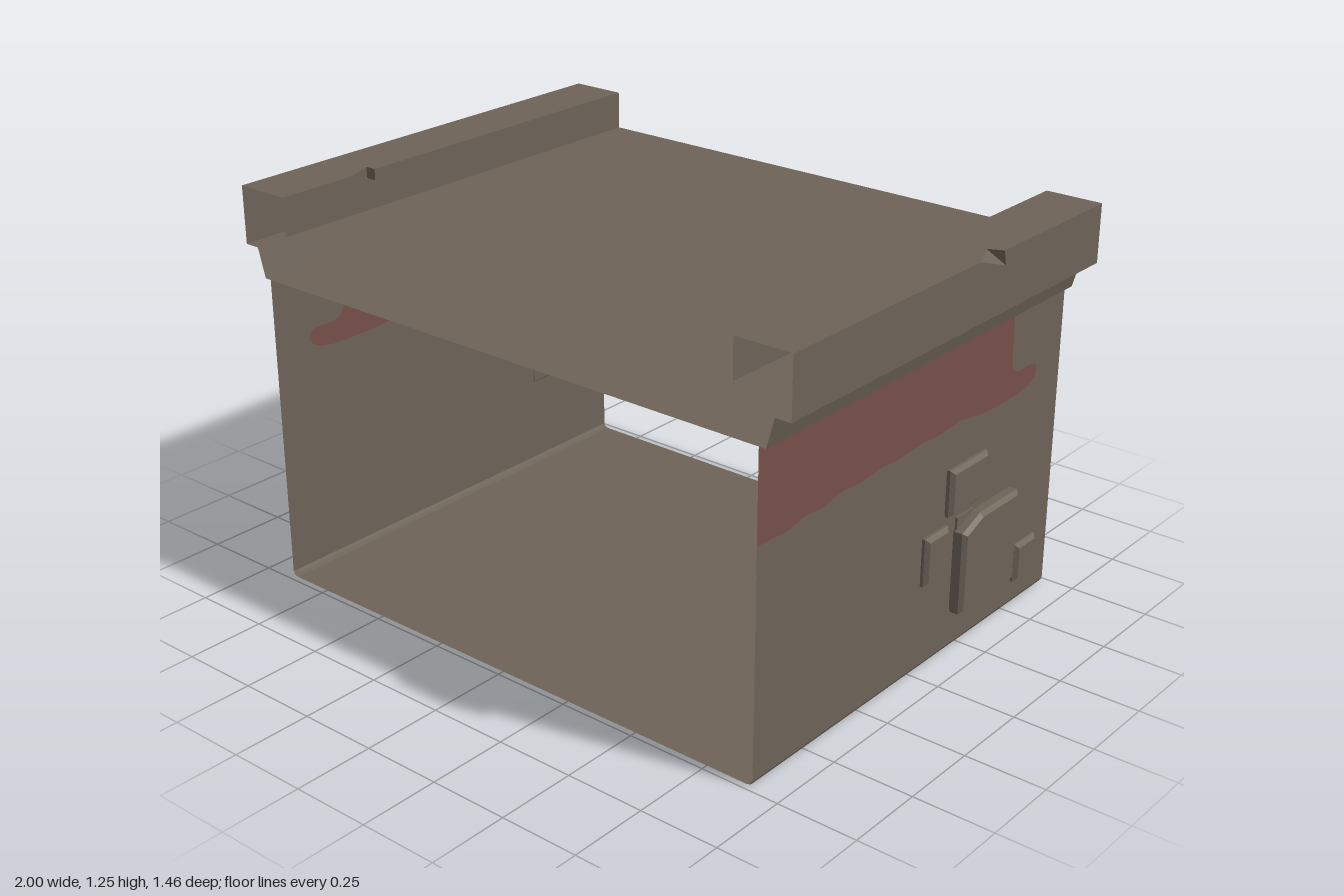
import * as THREE from 'three';

const stone = new THREE.MeshStandardMaterial({ color: 0x6d6358, side: THREE.DoubleSide });
stone.name = 'stone';
const redPaint = new THREE.MeshStandardMaterial({ color: 0x764e48, side: THREE.DoubleSide });
redPaint.name = 'redPaint';

const D = 0.73;      // half depth along z
const W = 0.903;     // wall plane
const TOP = 1.25, LEDGE = 1.07, EAVE = 0.98, ROOF = 1.13;
const IN = 0.82, OUT = 1;

function named(geometry, material, name) {
  const m = new THREE.Mesh(geometry, material);
  m.name = name;
  return m;
}

// Flat polygons, each a list of [x, y, z] corners, joined in one geometry
function panels(name, material, polygons) {
  const pos = [];
  for (const pts of polygons) {
    const v = pts.map(p => new THREE.Vector3(...p));
    const n = new THREE.Vector3();
    v.forEach((a, i) => n.add(a.clone().cross(v[(i + 1) % v.length])));
    const s = n.toArray().map(Math.abs);
    const axis = s.indexOf(Math.max(...s));
    const flat = pts.map(p => new THREE.Vector2(...p.filter((_, i) => i !== axis)));
    for (const tri of THREE.ShapeUtils.triangulateShape(flat, [])) {
      const [a, b, c] = tri.map(i => v[i]);
      const t = b.clone().sub(a).cross(c.clone().sub(a));
      const order = t.dot(n) < 0 ? [a, c, b] : [a, b, c];
      order.forEach(p => pos.push(p.x, p.y, p.z));
    }
  }
  const g = new THREE.BufferGeometry();
  g.setAttribute('position', new THREE.Float32BufferAttribute(pos, 3));
  g.computeVertexNormals();
  return named(g, material, name);
}

// Sheet following an [x, y] profile along the whole depth
function sheet(name, profile) {
  const quads = [];
  for (let i = 0; i + 1 < profile.length; i++) {
    const [a, b] = [profile[i], profile[i + 1]];
    quads.push([[...a, D], [...a, -D], [...b, -D], [...b, D]]);
  }
  return panels(name, stone, quads);
}

// Bevelled stone block set in the wall, outline given as [z, y]
function block(outline, x0, x1, b = 0.012) {
  const shape = new THREE.Shape(outline.map(([z, y]) => new THREE.Vector2(-z, y)));
  const g = new THREE.ExtrudeGeometry(shape, {
    depth: x1 - x0 - 2 * b, bevelEnabled: true, bevelSegments: 1,
    bevelSize: b, bevelThickness: b, bevelOffset: -b,
  });
  g.rotateY(Math.PI / 2);
  g.translate(x0 + b, 0, 0);
  return named(g, stone, 'wallBlock');
}
const rect = (z0, z1, y0, y1) => [[z0, y0], [z1, y0], [z1, y1], [z0, y1]];

// Ragged lower edge of the paint, as [z, y]
const paintEdge = [
  [D, 0.705], [0.6, 0.7], [0.53, 0.712], [0.46, 0.708], [0.36, 0.722], [0.28, 0.716],
  [0.2, 0.725], [0.1, 0.72], [0, 0.728], [-0.1, 0.722], [-0.2, 0.73], [-0.28, 0.715],
  [-0.34, 0.708], [-0.5, 0.708], [-0.56, 0.718], [-0.59, 0.735], [-0.602, 0.755],
  [-0.59, 0.775], [-0.57, 0.782], [-0.5, 0.782], [-0.475, 0.79], [-0.46, 0.815], [-0.455, EAVE],
];

// Wall, paint, eave and parapet for the +x side
function makeSide(name, chip) {
  const side = new THREE.Group();
  side.name = name;
  const edge = paintEdge.map(([z, y]) => [W, y, z]);
  side.add(panels('wall', stone, [[[W, 0.014, D], ...edge, [W, EAVE, -D], [W, 0.014, -D]]]));
  side.add(panels('paintBand', redPaint, [[...edge, [W, EAVE, D]]]));
  side.add(sheet('eave', [[W, EAVE], [0.925, EAVE], [0.95, LEDGE], [OUT, LEDGE]]));
  side.add(panels('parapet', stone, [
    [[IN, TOP, D], ...chip.topInner, [IN, TOP, -D], [OUT, TOP, -D], ...chip.topOuter, [OUT, TOP, D]],
    [[OUT, LEDGE, D], [OUT, LEDGE, -D], [OUT, TOP, -D], ...chip.outer, [OUT, TOP, D]],
    [[IN, ROOF, D], [IN, ROOF, -D], [IN, TOP, -D], ...chip.inner, [IN, TOP, D]],
  ]));
  side.add(panels('parapetChip', stone, chip.faces));
  return side;
}

export function createModel() {
  const model = new THREE.Group();
  model.name = 'openBuilding';

  // Floor with slightly bevelled lower corners, ceiling and roof
  model.add(sheet('floor', [[-W, 0.014], [-0.898, 0.004], [-0.885, 0], [0.885, 0], [0.898, 0.004], [W, 0.014]]));
  model.add(sheet('ceiling', [[-W, EAVE], [W, EAVE]]));
  model.add(sheet('roof', [[-IN, ROOF], [IN, ROOF]]));

  // Left side: parapet chipped on its outer edge
  const p1 = [OUT, TOP, -0.09], p2 = [OUT, TOP, -0.21], q = [OUT, 1.205, -0.22], r = [0.955, TOP, -0.19];
  const left = makeSide('leftSide', {
    topInner: [], inner: [],
    topOuter: [p2, r, p1], outer: [p2, q, p1],
    faces: [[p1, q, r], [p2, r, q]],
  });
  left.add(block(rect(-0.135, -0.325, 0.455, 0.6), 0.897, 0.93));
  left.add(block(rect(-0.03, -0.145, 0.275, 0.425), 0.892, 0.925));
  left.add(block([[-0.185, 0.13], [-0.475, 0.13], [-0.475, 0.425], [-0.275, 0.425], [-0.185, 0.39]], 0.9, 0.95));
  left.add(block(rect(-0.52, -0.63, 0.09, 0.215), 0.9, 0.93));

  // Broken piece of the large block reaching inside
  const wedge = new THREE.Shape([[0.825, 0.427], [0.85, 0.385], [0.91, 0.385], [0.91, 0.427]]
    .map(p => new THREE.Vector2(...p)));
  const wedgeGeo = new THREE.ExtrudeGeometry(wedge, { depth: 0.09, bevelEnabled: false });
  wedgeGeo.translate(0, 0, -0.29);
  left.add(named(wedgeGeo, stone, 'brokenBlock'));
  model.add(left);

  // Right side: the same turned half round, chipped on its inner edge
  const e = [IN, TOP, -0.46], k = [IN, TOP, -0.375], t = [0.855, TOP, -0.375];
  const b = [IN, 1.215, -0.375], c = [0.855, 1.215, -0.375];
  const right = makeSide('rightSide', {
    topOuter: [], outer: [],
    topInner: [k, t, e], inner: [e, b, k],
    faces: [[k, t, c, b], [e, t, c], [e, c, b]],
  });
  right.add(block(rect(0.43, 0.16, 0.48, 0.765), 0.898, 0.95));
  right.add(block(rect(0.55, 0.36, 0.285, 0.43), 0.9, 0.93));
  right.rotation.y = Math.PI;
  model.add(right);

  return model;
}
